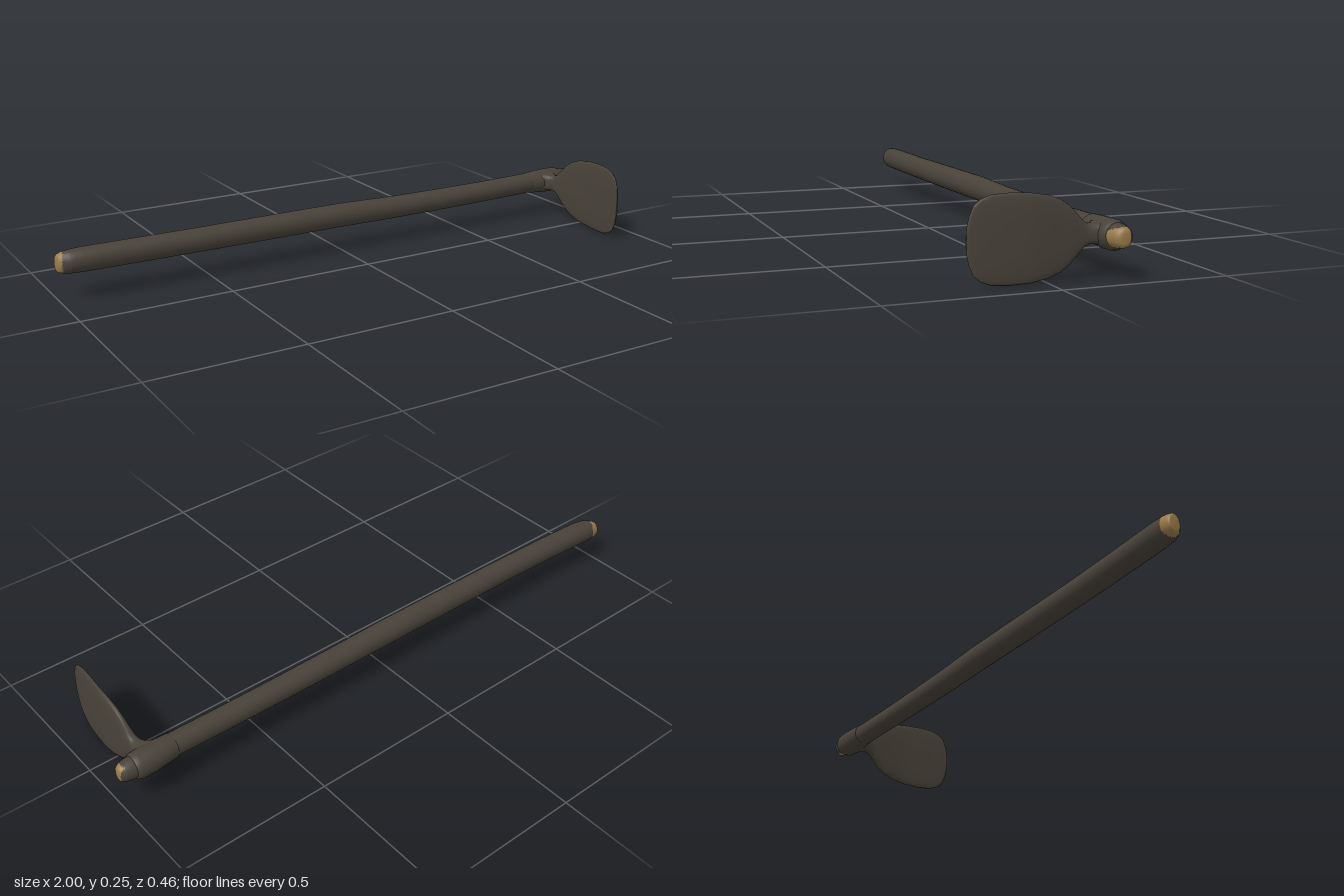
import * as THREE from 'three';

const SIDES = 28;

// Skin a run of elliptical sections [t, centreA, centreB, radiusA, radiusB].
// place() maps (t, a, b) to xyz; power < 1 squares the section off.
// isSecond(centroid) picks faces for the second material.
function loft(sections, place, power = 1, isSecond = () => false) {
  const pts = [];
  const bend = v => Math.sign(v) * Math.abs(v) ** power;
  for (const [t, ca, cb, ra, rb] of sections) {
    for (let j = 0; j < SIDES; j++) {
      const k = (j / SIDES) * Math.PI * 2;
      pts.push(place(t, ca + ra * bend(Math.cos(k)), cb + rb * bend(Math.sin(k))));
    }
  }
  const last = sections.length - 1;
  const start = pts.length, end = start + 1;
  for (const s of [sections[0], sections[last]]) pts.push(place(s[0], s[1], s[2]));

  const faces = [[], []];
  const tri = (a, b, c) => {
    const mid = pts[a].clone().add(pts[b]).add(pts[c]).divideScalar(3);
    faces[isSecond(mid) ? 1 : 0].push(a, b, c);
  };
  for (let j = 0; j < SIDES; j++) {
    const n = (j + 1) % SIDES;
    for (let i = 0; i < last; i++) {
      const r = i * SIDES, q = r + SIDES;
      tri(r + j, r + n, q + j);
      tri(r + n, q + n, q + j);
    }
    tri(start, n, j);
    tri(end, last * SIDES + j, last * SIDES + n);
  }
  const geo = new THREE.BufferGeometry().setFromPoints(pts);
  geo.setIndex([...faces[0], ...faces[1]]);
  geo.addGroup(0, faces[0].length, 0);
  geo.addGroup(faces[0].length, faces[1].length, 1);
  geo.computeVertexNormals();
  return geo;
}

const alongX = (t, a, b) => new THREE.Vector3(t, a, b);
const alongZ = (t, a, b) => new THREE.Vector3(a, b, t);

// Smoothly resample a list of sections
function smooth(sections, steps) {
  const out = [];
  const n = sections.length - 1;
  for (let i = 0; i < n; i++) {
    for (let s = 0; s < steps; s++) {
      const u = s / steps;
      out.push(sections[i].map((v, k) => v + (sections[i + 1][k] - v) * u));
    }
  }
  out.push(sections[n]);
  return out;
}

export function createModel() {
  const group = new THREE.Group();
  const dark = new THREE.MeshStandardMaterial({ color: 0x484239 });
  dark.name = 'darkBrown';
  const wood = new THREE.MeshStandardMaterial({ color: 0x9a7b4b });
  wood.name = 'bareWood';
  const add = (name, geo, mat) => {
    const mesh = new THREE.Mesh(geo, mat);
    mesh.name = name;
    group.add(mesh);
  };

  // Slightly wavy handle with rounded, worn ends showing bare wood
  const handle = [
    [-1.0, 0.121, -0.208, 0.022, 0.015],
    [-0.995, 0.122, -0.205, 0.030, 0.022],
    [-0.98, 0.124, -0.200, 0.035, 0.030],
    [-0.96, 0.125, -0.196, 0.038, 0.036],
    [-0.92, 0.126, -0.193, 0.040, 0.039],
    [-0.75, 0.127, -0.187, 0.040, 0.039],
    [-0.55, 0.127, -0.183, 0.040, 0.039],
    [-0.25, 0.127, -0.182, 0.041, 0.040],
    [0.0, 0.127, -0.182, 0.041, 0.040],
    [0.2, 0.123, -0.181, 0.039, 0.039],
    [0.4, 0.122, -0.181, 0.038, 0.038],
    [0.6, 0.123, -0.181, 0.037, 0.037],
    [0.8, 0.126, -0.181, 0.037, 0.036],
    [0.93, 0.126, -0.184, 0.037, 0.036],
    [0.965, 0.126, -0.185, 0.034, 0.033],
    [0.985, 0.126, -0.185, 0.030, 0.028],
    [0.996, 0.125, -0.185, 0.025, 0.020],
    [1.0, 0.125, -0.185, 0.016, 0.012],
  ];
  const isWorn = p =>
    p.x < -0.978 - 0.4 * (p.z + 0.2) ||
    (p.x > 0.93 && p.z > -0.2 && p.y < 0.132 + (p.x - 0.93) * 0.4);
  add('handle', loft(smooth(handle, 3), alongX, 1, isWorn), [dark, wood]);

  // Collar wrapped round the head end of the handle
  add('collar', loft([
    [0.81, 0.126, -0.182, 0.034, 0.034],
    [0.815, 0.126, -0.182, 0.039, 0.039],
    [0.86, 0.125, -0.183, 0.042, 0.042],
    [0.90, 0.124, -0.184, 0.044, 0.044],
    [0.935, 0.124, -0.185, 0.043, 0.043],
    [0.95, 0.125, -0.185, 0.039, 0.039],
    [0.952, 0.125, -0.185, 0.034, 0.034],
  ], alongX), dark);

  // Neck flaring out of the collar, then the broad thin blade
  add('blade', loft(smooth([
    [-0.175, 0.888, 0.126, 0.050, 0.036],
    [-0.150, 0.888, 0.126, 0.038, 0.032],
    [-0.138, 0.895, 0.126, 0.027, 0.029],
    [-0.122, 0.898, 0.126, 0.020, 0.029],
    [-0.108, 0.900, 0.126, 0.017, 0.036],
    [-0.090, 0.902, 0.126, 0.015, 0.056],
    [-0.065, 0.904, 0.126, 0.014, 0.082],
    [-0.040, 0.905, 0.126, 0.013, 0.099],
    [0.0, 0.907, 0.126, 0.012, 0.114],
    [0.05, 0.908, 0.126, 0.011, 0.122],
    [0.11, 0.904, 0.126, 0.010, 0.125],
    [0.16, 0.900, 0.126, 0.008, 0.122],
    [0.19, 0.897, 0.126, 0.007, 0.111],
    [0.21, 0.895, 0.126, 0.006, 0.094],
    [0.222, 0.894, 0.126, 0.005, 0.065],
    [0.228, 0.893, 0.126, 0.004, 0.035],
    [0.23, 0.893, 0.126, 0.003, 0.008],
  ], 2), alongZ, 0.7), dark);

  return group;
}
